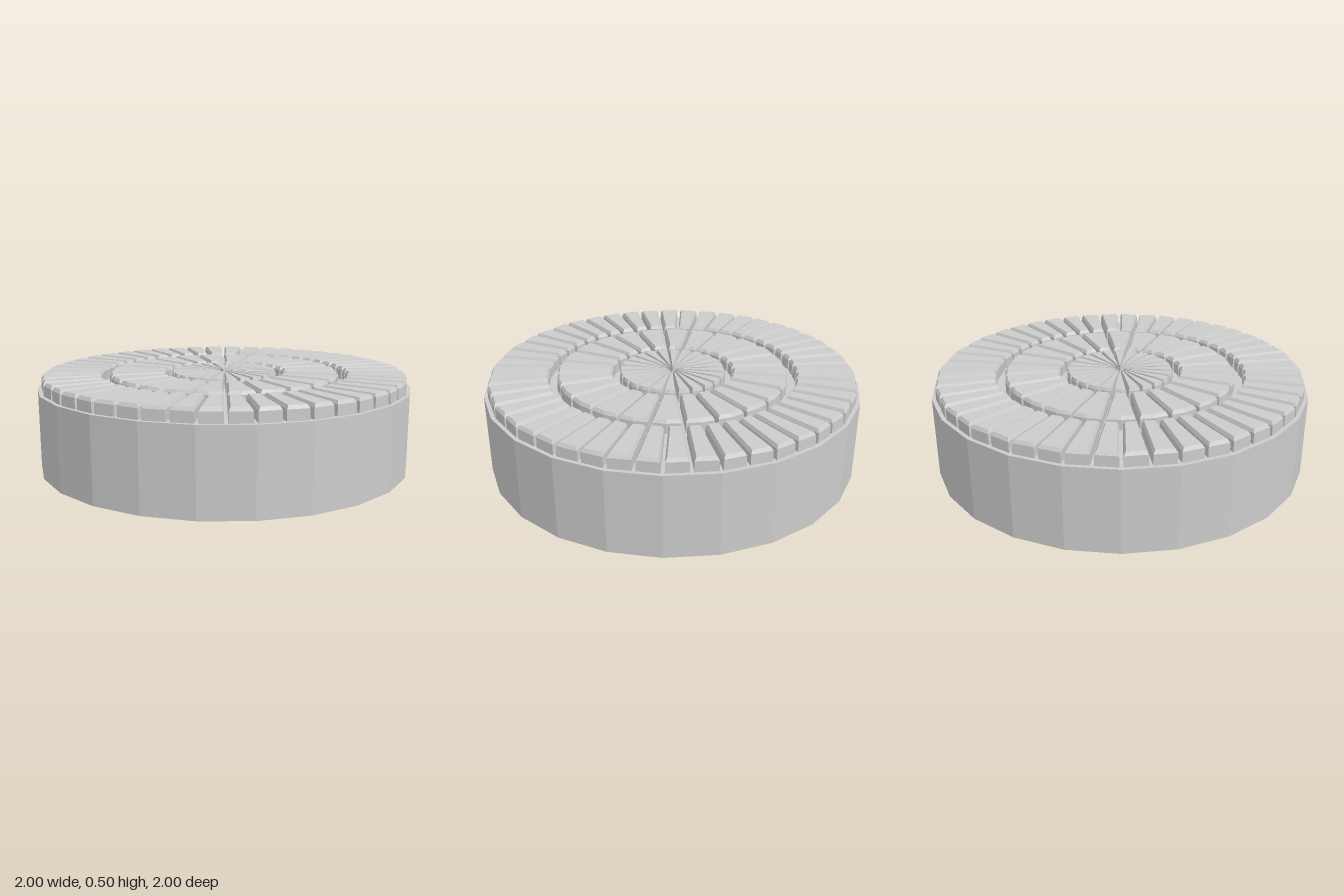
import * as THREE from 'three';

const SIDES = 24, CAP_Y = 0.43, RAD = Math.PI / 180;
const material = new THREE.MeshStandardMaterial({ color: 0xcccccc, flatShading: true, side: THREE.DoubleSide });

// Stone rings: bottom radii, half angle and half gap; lift of the bevelled top edge
const RINGS = [
  { name: 'outerStones', count: 48, start: 3.75, half: 3.75, r0: 0.665, r1: 0.98, gap: 0.009, bevel: 0.01 },
  { name: 'middleStones', count: 24, start: 0, half: 7.5, r0: 0.325, r1: 0.62, gap: 0.009, bevel: 0.01 },
  { name: 'innerWedges', count: 24, start: 0, half: 6.6, r0: 0.02, r1: 0.285, gap: 0.001, bevel: 0.006 },
];

// Point on a 24-sided polygon ring whose corners lie at radius r
function ringPoint(r, deg) {
  const step = 360 / SIDES;
  const local = ((deg % step) + step) % step - step / 2;
  const d = r * Math.cos(step / 2 * RAD) / Math.cos(local * RAD);
  return [d * Math.sin(deg * RAD), d * Math.cos(deg * RAD)];
}

// Outline of one stone, counter-clockwise from above
function outline(ring, deg, inset) {
  const r0 = ring.r0 + inset * 1.2, r1 = ring.r1 - inset * 1.2, gap = ring.gap + inset;
  const half = r => Math.max(0.4, ring.half - Math.asin(Math.min(1, gap / r)) / RAD);
  const a0 = half(r0), a1 = half(r1);
  return [
    ringPoint(r1, deg - a1), ringPoint(r1, deg), ringPoint(r1, deg + a1),
    ringPoint(r0, deg + a0), ringPoint(r0, deg), ringPoint(r0, deg - a0),
  ];
}

// All stones of a ring: straight sides, a bevel and a flat top
function stoneRing(ring) {
  const pos = [];
  const quad = (a, b, c, d) => pos.push(...a, ...b, ...c, ...a, ...c, ...d);
  for (let k = 0; k < ring.count; k++) {
    const deg = ring.start + k * 360 / ring.count;
    const levels = [[CAP_Y, 0], [0.483, 0.001], [0.5, ring.bevel]].map(([y, inset]) =>
      outline(ring, deg, inset).map(([x, z]) => [x, y, z]));
    for (let l = 0; l < 2; l++) {
      for (let i = 0; i < 6; i++) {
        const j = (i + 1) % 6;
        quad(levels[l][i], levels[l][j], levels[l + 1][j], levels[l + 1][i]);
      }
    }
    const t = levels[2];
    quad(t[0], t[1], t[4], t[5]);
    quad(t[1], t[2], t[3], t[4]);
  }
  const geometry = new THREE.BufferGeometry();
  geometry.setAttribute('position', new THREE.Float32BufferAttribute(pos, 3));
  geometry.computeVertexNormals();
  return geometry;
}

// Flat top plate, open under every hollow stone
function topPlate() {
  const toShape = ([x, z]) => new THREE.Vector2(x, -z);
  const rim = Array.from({ length: SIDES }, (_, i) => toShape(ringPoint(1, i * 360 / SIDES)));
  const shape = new THREE.Shape(rim);
  for (const ring of RINGS) {
    for (let k = 0; k < ring.count; k++) {
      const points = outline(ring, ring.start + k * 360 / ring.count, 0);
      shape.holes.push(new THREE.Path(points.map(toShape)));
    }
  }
  return new THREE.ShapeGeometry(shape).rotateX(-Math.PI / 2).translate(0, CAP_Y, 0);
}

export function createModel() {
  const model = new THREE.Group();
  model.name = 'roundStonePlatform';
  const add = (name, geometry) => {
    const mesh = new THREE.Mesh(geometry, material);
    mesh.name = name;
    model.add(mesh);
  };

  // Open-bottomed drum
  add('drumWall', new THREE.CylinderGeometry(1, 1, CAP_Y, SIDES, 1, true).translate(0, CAP_Y / 2, 0));
  add('topPlate', topPlate());
  // Three concentric rings of paving
  for (const ring of RINGS) add(ring.name, stoneRing(ring));
  return model;
}
